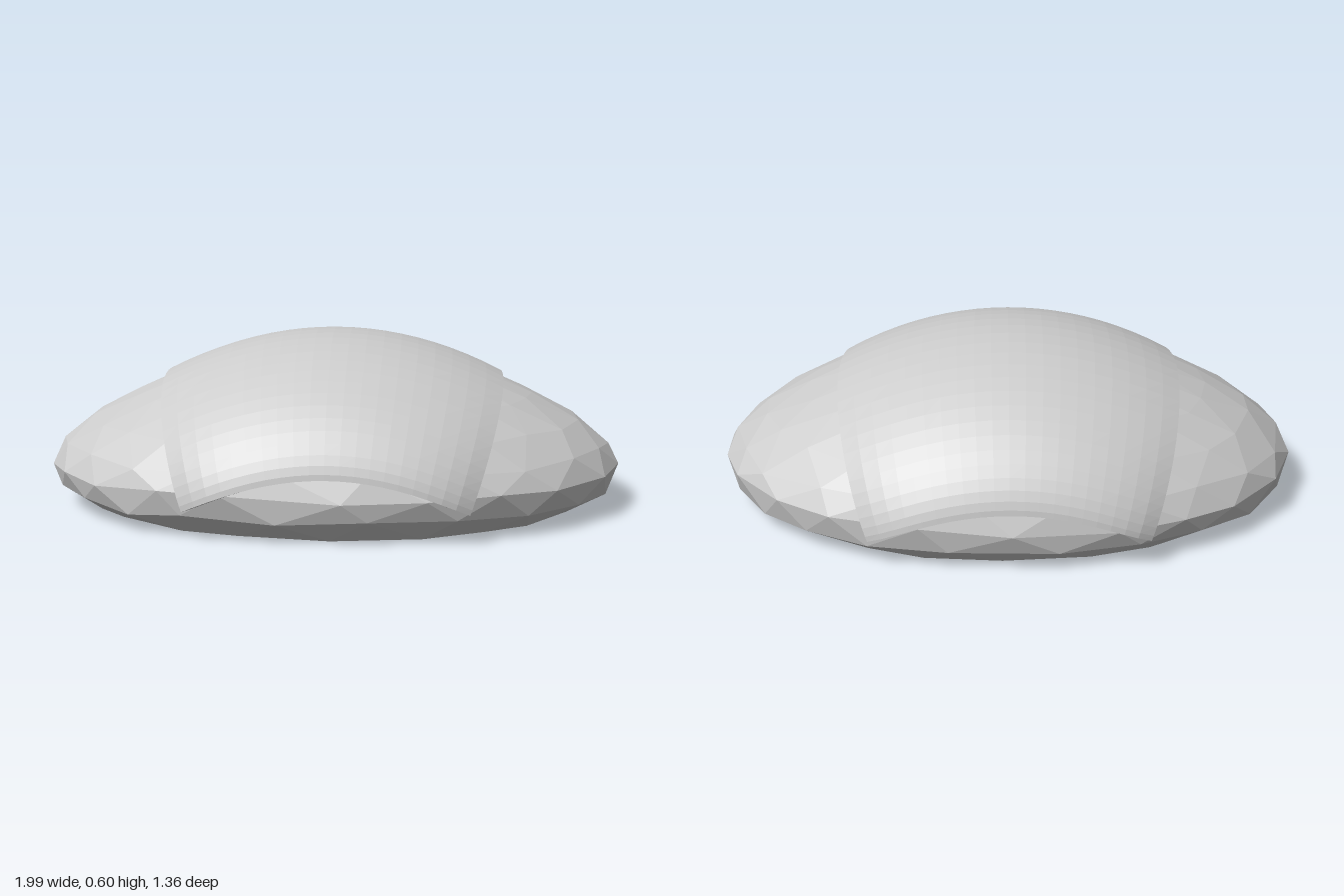
import * as THREE from 'three';

const material = () => new THREE.MeshStandardMaterial({ color: 0xcccccc, flatShading: true });

// Small repeatable noise in -1..1
let seed = 7;
function noise() {
  seed = (seed * 16807) % 2147483647;
  return (seed / 2147483647) * 2 - 1;
}

function makeMesh(name, positions, indices) {
  const geometry = new THREE.BufferGeometry();
  geometry.setAttribute('position', new THREE.Float32BufferAttribute(positions, 3));
  geometry.setIndex(indices);
  geometry.computeVertexNormals();
  const mesh = new THREE.Mesh(geometry, material());
  mesh.name = name;
  return mesh;
}

// Crest height of the mound along its length
const CREST = [[0, 0.6], [0.2, 0.58], [0.4, 0.525], [0.58, 0.448], [0.8, 0.35], [0.95, 0.24], [1, 0.17]];
function crest(x) {
  const ax = Math.min(Math.abs(x), 1);
  const k = Math.max(1, CREST.findIndex(([px]) => px >= ax));
  const [x0, y0] = CREST[k - 1], [x1, y1] = CREST[k];
  return THREE.MathUtils.mapLinear(ax, x0, x1, y0, y1);
}

// Height of the mound's upper surface at a fraction s of its plan outline
function domeHeight(x, z) {
  const width2 = 0.672 ** 2 * Math.max(1e-6, 1 - Math.abs(x) ** 2.2);
  const across = Math.max(0, 1 - (z * z) / width2);
  return 0.15 + (crest(x) - 0.15) * across ** 0.68;
}

// Faceted oval mound: rings from the crest out to the rim, then under to the base
function createMound() {
  const sides = 22;
  const rings = [
    { s: 0.25 }, { s: 0.5 }, { s: 0.7 }, { s: 0.85 }, { s: 0.955 },
    { s: 1, y: 0.155 }, { s: 0.975, y: 0.075 }, { s: 0.87, y: 0.01 }, { s: 0.45, y: 0.016 },
  ];
  const positions = [0, 0.6, 0];
  rings.forEach(({ s, y }, r) => {
    for (let i = 0; i < sides; i++) {
      const a = ((i + (r % 2) * 0.5 + noise() * 0.15) / sides) * Math.PI * 2;
      const radius = s + (y === undefined ? noise() * 0.012 : 0);
      const c = Math.cos(a), d = Math.sin(a);
      const x = radius * Math.sign(c) * Math.abs(c) ** (2 / 2.2);
      const z = radius * 0.672 * d;
      const height = y === undefined ? domeHeight(x, z) : y + noise() * (y > 0.05 ? 0.012 : 0.003);
      positions.push(x, height + (y === 0.01 ? 0.02 * x * x : 0), z);
    }
  });
  positions.push(0, 0.014, 0);
  const last = positions.length / 3 - 1;
  const indices = [];
  const at = (r, i) => 1 + r * sides + ((i + sides) % sides);
  for (let i = 0; i < sides; i++) {
    indices.push(0, at(0, i + 1), at(0, i));
    indices.push(last, at(rings.length - 1, i), at(rings.length - 1, i + 1));
    for (let r = 0; r < rings.length - 1; r++) {
      // Odd rings sit half a step round, so the diagonals alternate
      const a = at(r, i), b = at(r, i + 1), c = at(r + 1, i), d = at(r + 1, i + 1);
      if (r % 2) indices.push(a, b, d, a, d, c);
      else indices.push(a, b, c, b, d, c);
    }
  }
  return makeMesh('mound', positions, indices);
}

// Point on the draped slice: u runs along x, v from back edge to front edge
function slicePoint(u, v) {
  const angle = (v * Math.PI) / 2;
  const lift = Math.max(0, Math.cos(angle)) ** 1.3;
  const edgeY = 0.23 - 0.12 * u * u;
  const topY = 0.612 - 0.43 * (0.59 * u) ** 2;
  return new THREE.Vector3(
    u * (0.46 + 0.13 * lift),
    edgeY + (topY - edgeY) * lift,
    (0.68 - 0.05 * u ** 6) * Math.sin(angle),
  );
}

// Slice draped over the mound, its border turned inward as a thin rim
function createSlice() {
  const nu = 20, nv = 32;
  const positions = [], indices = [];
  const core = new THREE.Vector3(0, 0.12, 0);
  for (let i = -1; i <= nu + 1; i++) {
    for (let j = -1; j <= nv + 1; j++) {
      const u = THREE.MathUtils.clamp(i / nu, 0, 1) * 2 - 1;
      const v = THREE.MathUtils.clamp(j / nv, 0, 1) * 2 - 1;
      const p = slicePoint(u, v);
      if (i < 0 || j < 0 || i > nu || j > nv) p.lerp(core, 0.06);
      positions.push(p.x, p.y, p.z);
    }
  }
  const row = nv + 3;
  for (let i = 0; i < nu + 2; i++) {
    for (let j = 0; j < nv + 2; j++) {
      const a = i * row + j, b = a + row;
      indices.push(a, a + 1, b, b, a + 1, b + 1);
    }
  }
  return makeMesh('drapedSlice', positions, indices);
}

export function createModel() {
  seed = 7;
  const model = new THREE.Group();
  model.name = 'toppedMound';
  model.add(createMound(), createSlice());
  return model;
}
